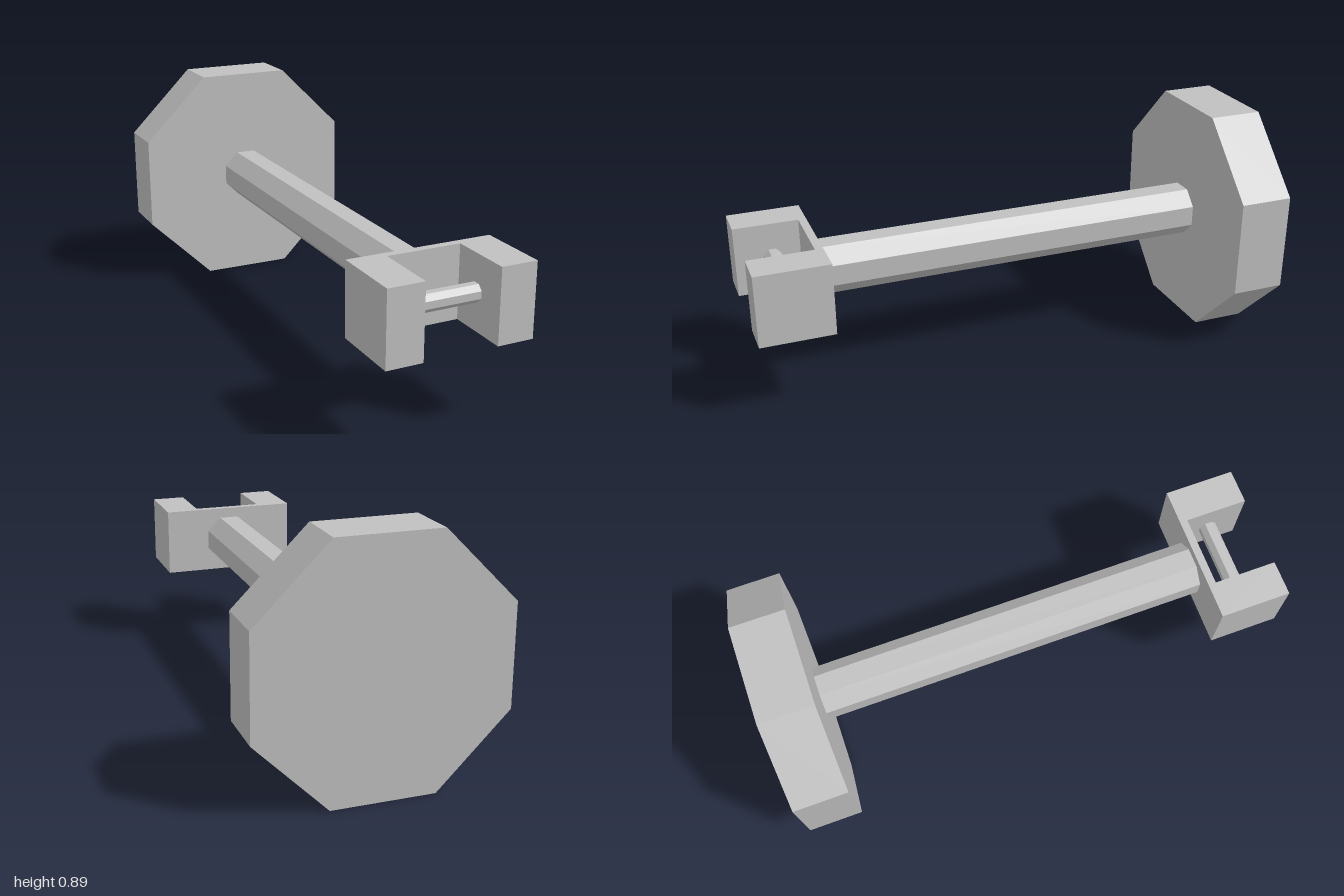
import * as THREE from 'three';

const CENTER_Y = 0.445;

// Octagonal prism along y, flat sides facing the axes; size is centre to flat side
function octagonPrism(apothem, length) {
  const r = apothem / Math.cos(Math.PI / 8);
  return new THREE.CylinderGeometry(r, r, length, 8, 1, false, Math.PI / 8);
}

export function createModel() {
  const model = new THREE.Group();
  model.name = 'model';
  const grey = new THREE.MeshStandardMaterial({ color: 0xc0c0c0, flatShading: true });
  grey.name = 'plainGrey';

  function add(name, geometry, x, y, z) {
    const mesh = new THREE.Mesh(geometry, grey);
    mesh.name = name;
    mesh.position.set(x, y, z);
    model.add(mesh);
  }

  // Octagonal head at the back
  add('headDisc', octagonPrism(0.445, 0.205).rotateX(Math.PI / 2), 0, CENTER_Y, -0.8975);

  // Long octagonal shaft from head to fork
  add('shaft', octagonPrism(0.095, 1.52).rotateX(Math.PI / 2), 0, CENTER_Y, -0.035);

  // U-shaped fork, drawn in plan and extruded downwards
  const plan = new THREE.Shape([
    [-0.275, 0.725], [0.275, 0.725], [0.275, 1], [0.139, 1],
    [0.139, 0.755], [-0.139, 0.755], [-0.139, 1], [-0.275, 1],
  ].map(([x, z]) => new THREE.Vector2(x, z)));
  const fork = new THREE.ExtrudeGeometry(plan, { depth: 0.274, bevelEnabled: false });
  add('fork', fork.rotateX(Math.PI / 2), 0, CENTER_Y + 0.137, 0);

  // Cross pin between the fork arms
  add('crossPin', octagonPrism(0.0325, 0.278).rotateZ(Math.PI / 2), 0, CENTER_Y + 0.002, 0.861);

  return model;
}
